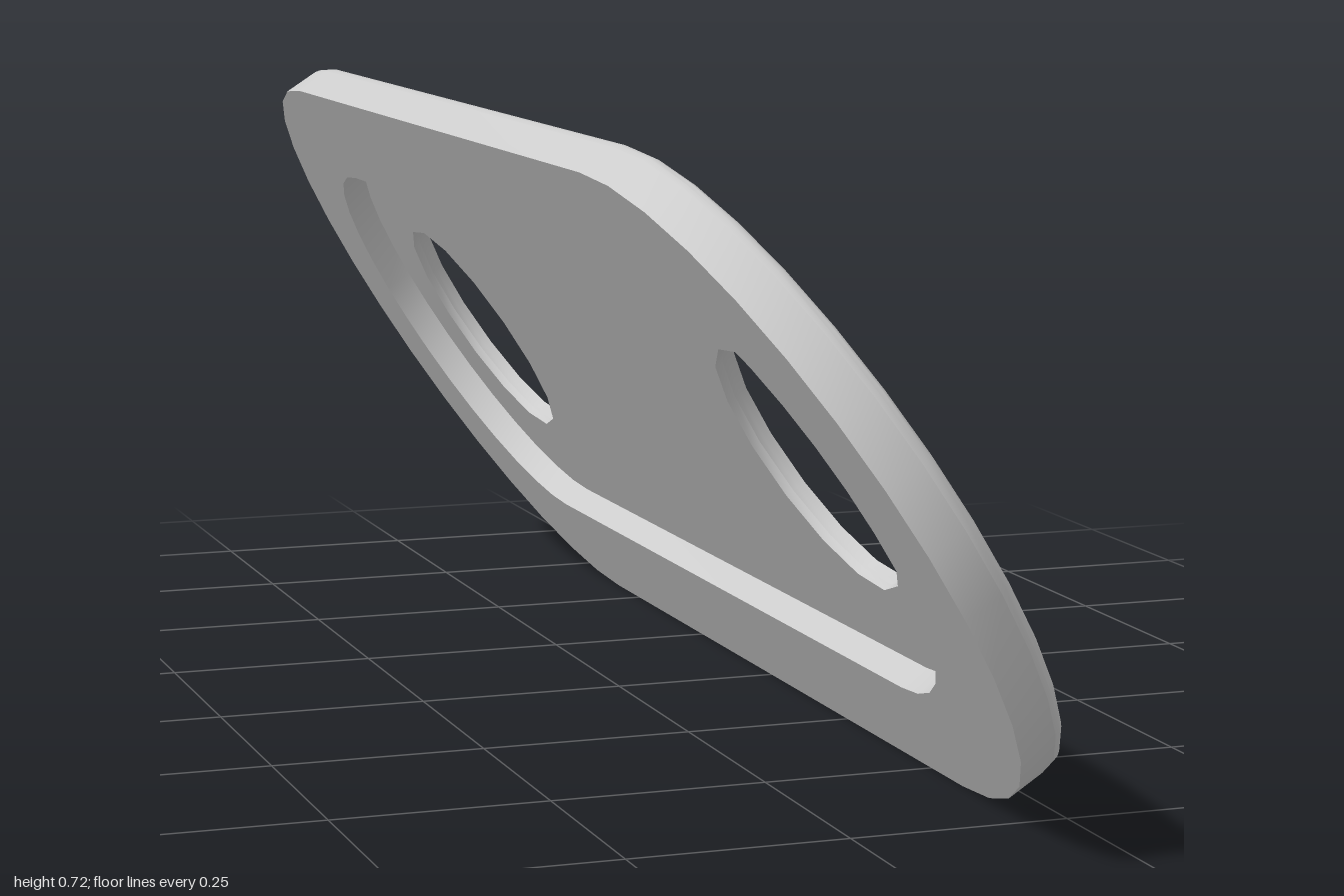
import * as THREE from 'three';
import { toCreasedNormals } from 'three/addons/utils/BufferGeometryUtils.js';

const END = 0.5875;      // centre of each rounded end
const RADIUS = 0.4125;   // half the plate width
const HOLE_AT = 0.595, HOLE_R = 0.16;
const RIM = 0.14;        // width of the rim around the underside recess
const FLOOR = 0.036, SKIN = 0.046, ROUND = 0.016;

// Long outline with two round ends
function stadium(r, Type = THREE.Shape) {
  const points = [];
  const n = 16;
  for (const side of [1, -1]) {
    for (let i = 0; i <= n; i++) {
      const a = -Math.PI / 2 + (i / n) * Math.PI;
      points.push(new THREE.Vector2(side * (END + r * Math.cos(a)), side * r * Math.sin(a)));
    }
  }
  return new Type(points);
}

// Round hole; each spike is a tapered groove: [angle, half width, tip x, tip y]
function hole(side, spikes = []) {
  const rad = THREE.MathUtils.degToRad;
  const onCircle = (deg) => [deg, side * HOLE_AT + HOLE_R * Math.cos(rad(deg)), HOLE_R * Math.sin(rad(deg))];
  const points = [];
  for (let deg = 0; deg < 360; deg += 24) {
    if (spikes.every(([a, w]) => Math.abs(deg - a) > w + 2)) points.push(onCircle(deg));
  }
  for (const [a, w, x, y] of spikes) points.push(onCircle(a - w), [a, x, y], onCircle(a + w));
  points.sort((p, q) => p[0] - q[0]);
  return new THREE.Path(points.map(([, x, y]) => new THREE.Vector2(x, y)));
}

function slab(shape, from, to, steps = 1) {
  const geometry = new THREE.ExtrudeGeometry(shape, { depth: to - from, steps, bevelEnabled: false });
  return geometry.translate(0, 0, from);
}

// Rounds the outer upper edge of the skin by pulling each level inwards
function roundEdge(geometry) {
  const p = geometry.attributes.position;
  for (let i = 0; i < p.count; i++) {
    const x = p.getX(i), y = p.getY(i);
    const cx = THREE.MathUtils.clamp(x, -END, END);
    const dist = Math.hypot(x - cx, y);
    const angle = ((p.getZ(i) - SKIN) / ROUND) * Math.PI / 2;
    p.setZ(i, SKIN + ROUND * Math.sin(angle));
    if (dist > RADIUS - 0.001) {
      const k = (RADIUS - ROUND * (1 - Math.cos(angle))) / RADIUS;
      p.setXY(i, cx + (x - cx) * k, y * k);
    }
  }
  return geometry;
}

export function createModel() {
  const grey = new THREE.MeshStandardMaterial({ color: 0xcccccc });
  grey.name = 'light grey';

  const plate = new THREE.Group();
  plate.name = 'tiltedPlate';
  const add = (name, geometry) => {
    const mesh = new THREE.Mesh(toCreasedNormals(geometry, 0.5), grey);
    mesh.name = name;
    plate.add(mesh);
  };

  // Raised rim around the underside
  const rim = stadium(RADIUS);
  rim.holes.push(stadium(RADIUS - RIM, THREE.Path));
  add('rim', slab(rim, 0, SKIN));

  // Thin floor of the recess with two round holes
  const floor = stadium(RADIUS - RIM);
  floor.holes.push(hole(1), hole(-1));
  add('recessFloor', slab(floor, FLOOR, SKIN));

  // Upper skin with a rounded edge and shallow tapered grooves
  const skin = stadium(RADIUS);
  skin.holes.push(
    hole(-1, [[74, 6, -0.475, 0.375]]),
    hole(1, [[106, 6, 0.475, 0.375], [170, 7, -0.39, 0.04], [204, 8, -0.39, -0.03]]),
  );
  add('upperSkin', roundEdge(slab(skin, SKIN, SKIN + ROUND, 4)));

  // Lean the plate: length along z, width rising towards -x
  const along = new THREE.Vector3(0, 0, -1);
  const up = new THREE.Vector3(-0.54, 0.842, 0).normalize();
  const out = new THREE.Vector3().crossVectors(along, up);
  plate.quaternion.setFromRotationMatrix(new THREE.Matrix4().makeBasis(along, up, out));
  plate.position.set(-0.0225, 0.3475, 0);

  const model = new THREE.Group();
  model.name = 'slottedPlate';
  model.add(plate);
  return model;
}
